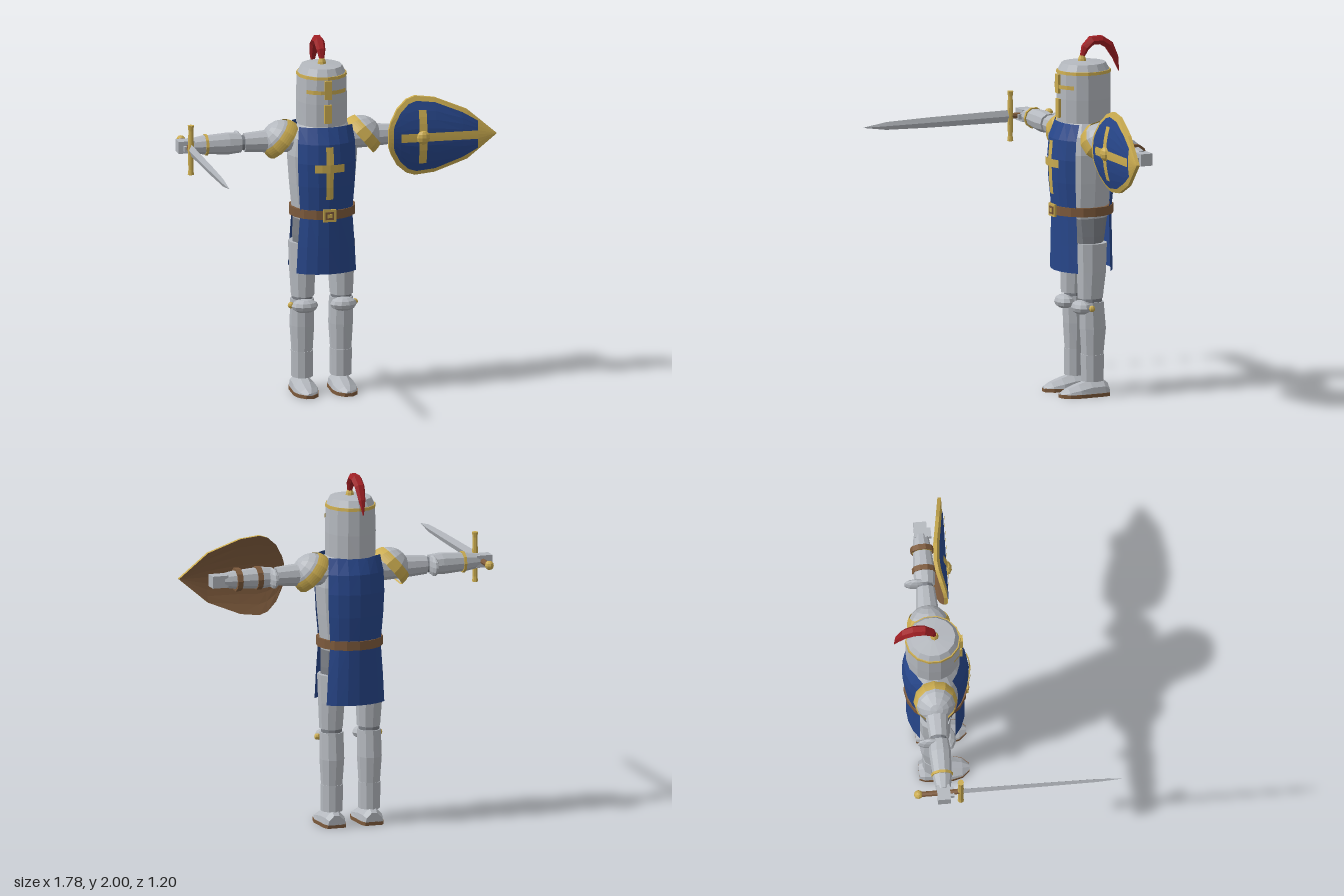
import * as THREE from 'three';

const mat = (name, color) => new THREE.MeshStandardMaterial({ name, color, flatShading: true, side: THREE.DoubleSide });
const V = (x, y, z) => new THREE.Vector3(x, y, z);

// Skin a list of equally long point rows; optionally close each row and cap the ends
function loft(rows, closed = false, caps = false) {
  const n = rows[0].length, pos = [], idx = [];
  rows.forEach(r => r.forEach(p => pos.push(p.x, p.y, p.z)));
  for (let i = 0; i < rows.length - 1; i++) {
    for (let j = 0; j < (closed ? n : n - 1); j++) {
      const a = i * n + j, b = i * n + (j + 1) % n;
      idx.push(a, b, a + n, b, b + n, a + n);
    }
  }
  if (caps) [0, rows.length - 1].forEach(i => {
    const c = rows[i].reduce((s, p) => s.add(p), V(0, 0, 0)).divideScalar(n), k = pos.length / 3;
    pos.push(c.x, c.y, c.z);
    for (let j = 0; j < n; j++) {
      const a = i * n + j, b = i * n + (j + 1) % n;
      if (i) idx.push(a, b, k); else idx.push(b, a, k);
    }
  });
  const g = new THREE.BufferGeometry();
  g.setAttribute('position', new THREE.Float32BufferAttribute(pos, 3));
  g.setIndex(idx);
  g.computeVertexNormals();
  return g;
}

// Upright tube from rows [y, rx, rz, centreZ]
const tube = (rows, sides = 10) => loft(rows.map(([y, rx, rz = rx, cz = 0]) =>
  Array.from({ length: sides }, (_, j) => {
    const a = j / sides * Math.PI * 2;
    return V(Math.sin(a) * rx, y, cz + Math.cos(a) * rz);
  })), true, true);

// Open curved plate facing front (dir 1) or back (dir -1), spanning angles +-half
const plate = (rows, half, dir = 1, segs = 6) => loft(rows.map(([y, rx, rz]) =>
  Array.from({ length: segs + 1 }, (_, j) => {
    const a = half * (2 * j / segs - 1);
    return V(Math.sin(a) * rx, y, dir * Math.cos(a) * rz);
  })));

export function createModel() {
  const steel = mat('steel', 0xb4b8be), mail = mat('darkMail', 0x7c8087), blue = mat('blueCloth', 0x27468a);
  const gold = mat('gold', 0xcbac50), leather = mat('leather', 0x7d5a3c), red = mat('redFeather', 0xa01f24);
  const root = new THREE.Group();
  const body = new THREE.Group();
  body.name = 'knight';
  body.position.x = -0.075;
  root.add(body);
  const add = (name, geo, m, x = 0, y = 0, z = 0, parent = body) => {
    const o = new THREE.Mesh(geo, m);
    o.name = name;
    o.position.set(x, y, z);
    parent.add(o);
    return o;
  };
  const box = (w, h, d) => new THREE.BoxGeometry(w, h, d);

  // Torso and hips
  const TZ = -0.372;
  add('breastplate', tube([[1.0, .168, .145], [1.2, .188, .155], [1.36, .2, .165], [1.46, .185, .15], [1.53, .14, .105]], 12), steel, 0, 0, TZ);
  add('mailSkirt', tube([[.78, .165, .1], [.9, .17, .12], [1.02, .168, .14]], 12), mail, 0, 0, TZ);

  // Tabard, front and back
  const cloth = [[.70, .213, .163], [.85, .203, .163], [1.04, .186, .163], [1.2, .2, .18], [1.33, .207, .186], [1.44, .204, .175], [1.53, .19, .135]];
  for (const dir of [1, -1]) {
    const panel = add(dir > 0 ? 'tabardFront' : 'tabardBack', plate(cloth, .92, dir), blue, 0, 0, TZ);
    panel.geometry.computeBoundingBox();
  }
  add('chestCrossUpright', plate([[1.13, .2, .18], [1.2, .206, .187], [1.33, .212, .193], [1.43, .212, .184]], .1, 1, 2), gold, 0, 0, TZ);
  add('chestCrossBar', plate([[1.285, .212, .194], [1.33, .213, .195]], .41, 1, 4), gold, 0, 0, TZ);

  // Belt and buckle
  add('belt', tube([[1.015, .186, .176], [1.065, .186, .176]], 16), leather, 0, 0, TZ);
  add('buckle', box(.074, .07, .012), gold, 0, 1.038, -.197);
  add('buckleInset', box(.048, .044, .006), leather, 0, 1.038, -.19);
  add('bucklePin', box(.03, .022, .006), gold, 0, 1.038, -.188);

  // Helmet
  const HZ = -.386;
  add('neck', tube([[1.48, .09], [1.6, .09]]), mail, 0, 0, HZ);
  add('helmet', tube([[1.53, .14, .148], [1.66, .141, .152], [1.81, .136, .15], [1.855, .114, .125], [1.863, .03, .03]], 14), steel, 0, 0, HZ);
  add('helmetBand', tube([[1.8, .14, .155], [1.817, .138, .153]], 14), gold, 0, 0, HZ);
  add('visorBar', plate([[1.72, .15, .164], [1.742, .15, .164]], .84, 1, 6), gold, 0, 0, HZ);
  add('visorUpper', box(.04, .105, .016), gold, 0, 1.745, -.228);
  add('visorLower', box(.04, .105, .016), gold, 0, 1.608, -.232);
  add('plumeHolder', tube([[1.855, .026], [1.875, .022], [1.893, .014]], 8), gold, 0, 0, -.377);

  // Plume: tapering sweep of hexagons, from [y, z, radius]
  const feather = [[1.885, -.377, .014], [1.935, -.395, .025], [1.972, -.435, .03], [1.972, -.49, .031], [1.94, -.54, .029], [1.87, -.578, .02], [1.79, -.6, .003]];
  add('plume', loft(feather.map(([y, z, r], i) => {
    const p = feather[Math.max(i - 1, 0)], q = feather[Math.min(i + 1, feather.length - 1)];
    const t = V(0, q[0] - p[0], q[1] - p[1]).normalize();
    return Array.from({ length: 6 }, (_, j) => {
      const a = j / 6 * Math.PI * 2, k = Math.sin(a) * r * .9;
      return V(Math.cos(a) * r, y - t.z * k, z + t.y * k);
    });
  }), true, true), red);

  // Legs
  for (const s of [1, -1]) {
    const leg = new THREE.Group();
    leg.name = s > 0 ? 'leftLeg' : 'rightLeg';
    leg.position.set(s * .11, 0, -.383);
    body.add(leg);
    const part = (name, geo, m, x = 0, y = 0, z = 0) => add(name, geo, m, x, y, z, leg);
    part('thigh', tube([[.55, .064, .073, .008], [.7, .072, .085], [.86, .078, .09]]), steel);
    part('kneeJoint', tube([[.48, .058, .06], [.57, .058, .06]]), mail);
    part('kneeCap', new THREE.SphereGeometry(1, 10, 6), steel, 0, .5, .062).scale.set(.076, .04, .055);
    part('kneeRivet', new THREE.SphereGeometry(.018, 8, 6), gold, s * .072, .5, .03);
    part('greave', tube([[.22, .058, .062, -.005], [.38, .068, .076, -.008], [.53, .066, .07, 0]]), steel);
    part('ankleGuard', tube([[.085, .06, .065, -.005], [.235, .062, .067, -.005]]), steel);
    // Foot sections: [z, half width, height]
    const foot = [[-.09, .05, .07], [-.06, .062, .092], [.02, .066, .09], [.09, .07, .07], [.15, .055, .05], [.19, .02, .03]];
    part('shoe', loft(foot.map(([z, w, h]) => [V(-w, .018, z), V(-w * .9, h * .6, z), V(-w * .3, h, z),
      V(w * .3, h, z), V(w * .9, h * .6, z), V(w, .018, z)]), true, true), steel);
    part('sole', loft(foot.map(([z, w]) => [V(-w - .002, 0, z), V(-w - .002, .02, z), V(w + .002, .02, z), V(w + .002, 0, z)]), true, true), leather);
  }

  // Arms, stretched sideways; distances run outward from the body centre
  for (const s of [1, -1]) {
    const arm = new THREE.Group();
    arm.name = s > 0 ? 'leftArm' : 'rightArm';
    arm.position.set(0, 1.435, -.39);
    body.add(arm);
    const part = (name, geo, m, x = 0, y = 0, z = 0) => add(name, geo, m, s * x, y, z, arm);
    const limb = (rows, sides) => tube(rows, sides).rotateZ(-s * Math.PI / 2);
    const dome = (r, a, b) => new THREE.SphereGeometry(r, 12, 5, 0, Math.PI * 2, a, b - a).rotateZ(-s * .87);
    part('pauldron', dome(.115, 0, 1.6), steel, .222);
    part('pauldronTrim', dome(.121, 1.1, 1.66), gold, .222);
    part('upperArm', limb([[.15, .07], [.32, .062], [.44, .052]]), steel);
    part('elbowJoint', limb([[.43, .042], [.49, .042]]), mail);
    part('elbowCap', new THREE.SphereGeometry(1, 10, 6), steel, .47, 0, -.044).scale.set(.022, .058, .076);
    part('forearm', limb([[.46, .054], [.53, .061], [.66, .052]]), steel);
    part('cuff', limb([[.655, .056], [.75, .04]]), steel);
    part('cuffRing', limb([[.65, .06], [.665, .06]]), gold);
    part('hand', box(.09, .068, .072), steel, .775);
    part('thumb', box(.055, .03, .025), steel, .765, -.005, .045);
    if (s > 0) for (const x of [.53, .65]) part('shieldStrap', limb([[x, .066], [x + .03, .066]]), leather);
  }

  // Sword pointing forward
  const sword = new THREE.Group();
  sword.name = 'sword';
  sword.position.set(-.765, 1.435, 0);
  body.add(sword);
  add('blade', loft([[-.29, .034, .013], [.2, .029, .011], [.46, .022, .009], [.6, .001, .001]].map(([z, h, w]) =>
    [V(0, h, z), V(w, 0, z), V(0, -h, z), V(-w, 0, z)]), true, true), steel, 0, 0, 0, sword);
  add('crossGuard', tube([[-.14, .018], [-.11, .014], [0, .018], [.11, .014], [.14, .018]], 8), gold, 0, 0, -.295, sword);
  add('grip', tube([[-.52, .016], [-.3, .016]], 8).rotateX(Math.PI / 2), leather, 0, 0, 0, sword);
  add('pommel', new THREE.SphereGeometry(.026, 8, 6), gold, 0, 0, -.53, sword);

  // Shield: teardrop bowed about its long axis, from outline points [x, half height]
  const shield = new THREE.Group();
  shield.name = 'shield';
  shield.position.set(.075, 1.435, 0);
  body.add(shield);
  const bow = (x, y) => -.268 + .02 * (x - .475) - 1.0 * y * y;
  const face = (outline, dz) => outline.map(([x, h]) =>
    Array.from({ length: 9 }, (_, j) => {
      const y = h * (j / 4 - 1);
      return V(x, y, bow(x, y) + dz);
    }));
  const outer = [[.282, .05], [.295, .09], [.335, .16], [.39, .208], [.44, .225], [.55, .212], [.73, .14], [.89, .002]];
  const inner = [[.308, .05], [.318, .08], [.35, .138], [.4, .185], [.445, .2], [.55, .188], [.7, .128], [.785, .078]];
  const front = face(outer, 0), back = face(outer, -.02);
  add('shieldRim', loft(front), gold, 0, 0, 0, shield);
  add('shieldBack', loft(back), leather, 0, 0, 0, shield);
  const border = rows => [...rows.map(r => r[0]), ...rows.map(r => r[8]).reverse()];
  add('shieldEdge', loft([border(front), border(back)], true), gold, 0, 0, 0, shield);
  add('shieldField', loft(face(inner, .005)), blue, 0, 0, 0, shield);
  add('shieldCrossUpright', loft(face([[.453, .152], [.497, .152]], .011)), gold, 0, 0, 0, shield);
  add('shieldCrossBar', loft(face([[.35, .024], [.785, .024]], .011)), gold, 0, 0, 0, shield);
  add('shieldBoss', new THREE.SphereGeometry(.04, 10, 6), gold, .475, 0, -.262, shield).scale.z = .7;

  return root;
}
